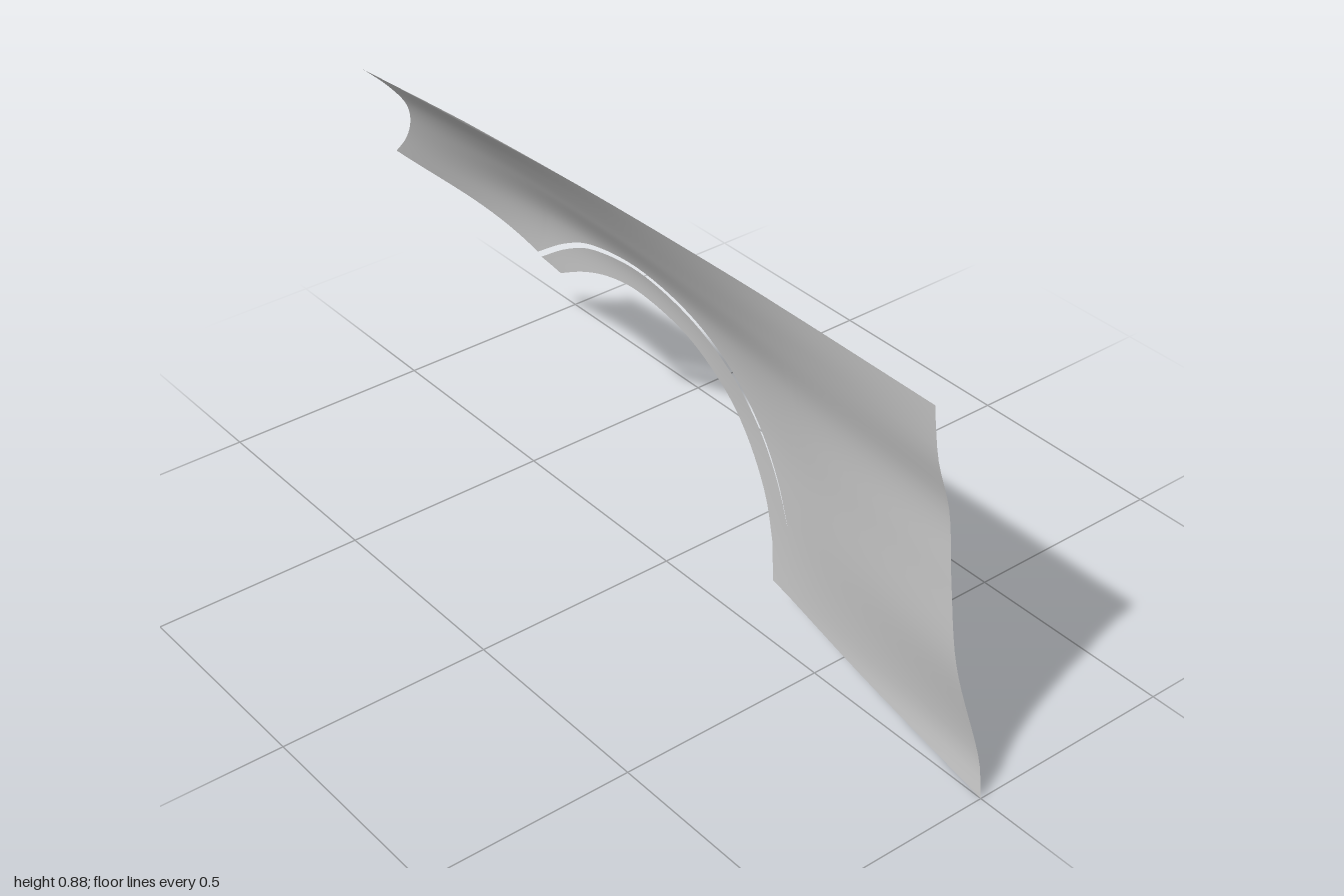
import * as THREE from 'three';

const panelGrey = new THREE.MeshStandardMaterial({ color: 0xc0c0c0, side: THREE.DoubleSide });
panelGrey.name = 'panelGrey';

// Smooth interpolation through uneven samples
function smooth(xs, ys, x) {
  const last = xs.length - 1;
  const t = THREE.MathUtils.clamp(x, xs[0], xs[last]);
  let i = 0;
  while (i < last - 1 && t > xs[i + 1]) i++;
  const slope = (k) => {
    const a = Math.max(k - 1, 0), b = Math.min(k + 1, last);
    return (ys[b] - ys[a]) / (xs[b] - xs[a]);
  };
  const h = xs[i + 1] - xs[i], s = (t - xs[i]) / h, s2 = s * s, s3 = s2 * s;
  return ys[i] * (2 * s3 - 3 * s2 + 1) + ys[i + 1] * (3 * s2 - 2 * s3)
    + h * (slope(i) * (s3 - 2 * s2 + s) + slope(i + 1) * (s3 - s2));
}

// Bulge of the sheet: rows by height, columns from the front edge to the rear tip
const heights = [0, 0.08, 0.28, 0.45, 0.6, 0.72, 0.8, 0.88];
const columns = [0, 0.2, 0.4, 0.6, 0.8, 1];
const bulge = [
  [0, 0.03, 0.065, 0.08, 0.08, 0],
  [0.015, 0.043, 0.078, 0.09, 0.09, 0.02],
  [0, 0.045, 0.1, 0.11, 0.105, 0.04],
  [0.014, 0.05, 0.105, 0.112, 0.109, 0.04],
  [0.024, 0.045, 0.085, 0.108, 0.09, -0.005],
  [0, 0.015, 0.033, 0.043, 0.03, -0.035],
  [-0.007, -0.006, -0.004, -0.006, -0.022, -0.062],
  [-0.01, -0.023, -0.041, -0.06, -0.085, -0.115],
];
const frontY = [0, 0.2, 0.42, 0.63, 0.845];
const frontZ = [1, 0.93, 0.87, 0.83, 0.81];

function surfacePoint(z, y) {
  const edge = smooth(frontY, frontZ, y);
  const u = (edge - z) / (edge + 1);
  const column = bulge.map((row) => smooth(columns, row, u));
  return [smooth(heights, column, y), y, z];
}

// Samples joined spline segments of [z, y] points, keeping corners between them
function outline(segments, counts) {
  const out = [];
  segments.forEach((pts, k) => {
    const curve = new THREE.SplineCurve(pts.map(([z, y]) => new THREE.Vector2(z, y)));
    const points = curve.getPoints(counts[k]);
    out.push(...(k ? points.slice(1) : points));
  });
  return out;
}

// Sheet between a lower and upper outline, with optional curved ends
function sheet(name, lower, upper, rows, front, rear) {
  const n = lower.length - 1, position = [], index = [];
  for (let i = 0; i <= n; i++) {
    const u = i / n;
    for (let j = 0; j <= rows; j++) {
      const v = j / rows;
      const p = lower[i].clone().lerp(upper[i], v);
      if (front) {
        p.addScaledVector(front[j].clone().sub(lower[0].clone().lerp(upper[0], v)), 1 - u);
        p.addScaledVector(rear[j].clone().sub(lower[n].clone().lerp(upper[n], v)), u);
      }
      position.push(...surfacePoint(p.x, p.y));
      if (i < n && j < rows) {
        const a = i * (rows + 1) + j, b = a + rows + 1;
        index.push(a, b, b + 1, a, b + 1, a + 1);
      }
    }
  }
  const geometry = new THREE.BufferGeometry();
  geometry.setAttribute('position', new THREE.Float32BufferAttribute(position, 3));
  geometry.setIndex(index);
  geometry.computeVertexNormals();
  const mesh = new THREE.Mesh(geometry, panelGrey);
  mesh.name = name;
  return mesh;
}

export function createModel() {
  const group = new THREE.Group();
  group.name = 'fenderPanel';

  const seam = [[0.335, 0.075], [0.32, 0.23]];
  const arc = [[0.32, 0.23], [0.27, 0.33], [0.19, 0.43], [0.08, 0.525], [-0.05, 0.588],
    [-0.23, 0.617], [-0.4, 0.593], [-0.51, 0.546], [-0.61, 0.48]];

  // Main fender skin
  const counts = [24, 6, 48, 16], rows = 32;
  const lower = outline([[[1, 0], [0.66, 0.035], seam[0]], seam, arc, [[-0.61, 0.48], [-0.8, 0.552], [-1, 0.62]]], counts);
  const upper = outline([
    [[0.81, 0.845], [0.6, 0.851], [0.38, 0.859]],
    [[0.38, 0.859], [0.32, 0.862]],
    [[0.32, 0.862], [0, 0.873], [-0.3, 0.88], [-0.6, 0.883]],
    [[-0.6, 0.883], [-0.78, 0.881], [-0.96, 0.878]],
  ], counts);
  const front = outline([frontY.map((y, i) => [frontZ[i], y])], [rows]);
  const rear = outline([[[-1, 0.62], [-0.955, 0.67], [-0.915, 0.73], [-0.888, 0.79],
    [-0.884, 0.83], [-0.905, 0.862], [-0.96, 0.878]]], [rows]);
  group.add(sheet('fenderSkin', lower, upper, rows, front, rear));

  // Wheel arch lip, separated from the skin by a slit that widens toward the rear
  const lipCounts = [8, 48];
  const slit = arc.map(([z, y], i) => {
    const k = 1 - 0.03 * Math.min(1, i / 4);
    return [-0.22 + (z + 0.22) * k, 0.2 + (y - 0.2) * k];
  });
  const lipOuter = outline([seam, slit], lipCounts);
  const lipInner = outline([
    [[0.28, 0.08], [0.265, 0.17]],
    [[0.265, 0.17], [0.225, 0.27], [0.15, 0.37], [0.055, 0.456], [-0.07, 0.52],
      [-0.23, 0.545], [-0.34, 0.535], [-0.44, 0.503], [-0.53, 0.458]],
  ], lipCounts);
  group.add(sheet('wheelArchLip', lipInner, lipOuter, 6));

  return group;
}
